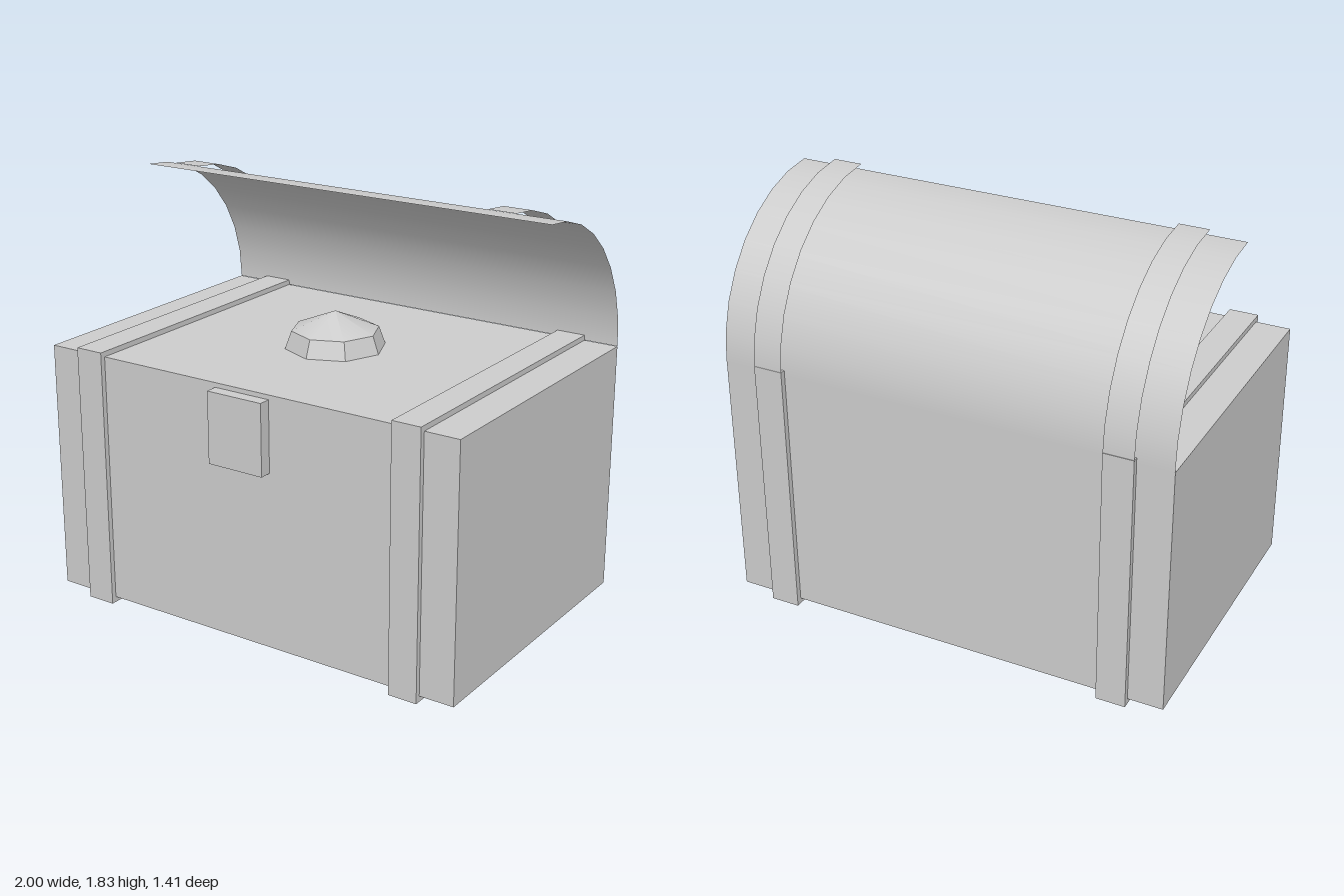
import * as THREE from 'three';

export function createModel() {
  const chest = new THREE.Group();
  chest.name = 'chest';
  const grey = new THREE.MeshStandardMaterial({ color: 0xcccccc, side: THREE.DoubleSide });
  grey.name = 'plain grey';

  const CZ = -0.015, RIM = 1.135; // lid axis and rim height

  function add(name, geometry, x, y, z) {
    const mesh = new THREE.Mesh(geometry, grey);
    mesh.name = name;
    mesh.position.set(x, y, z);
    chest.add(mesh);
    return mesh;
  }

  // box given by its lower and upper corners
  function box(name, a, b) {
    const size = b.map((v, i) => v - a[i]);
    const mid = b.map((v, i) => (v + a[i]) / 2);
    return add(name, new THREE.BoxGeometry(...size), ...mid);
  }

  // thin quarter-round shell, from the back rim up to the open front edge
  function shell(name, radius, width, x) {
    const g = new THREE.CylinderGeometry(radius, radius, width, 8, 1, true, Math.PI / 2, Math.PI / 2);
    g.rotateZ(Math.PI / 2);
    return add(name, g, x, RIM, CZ);
  }

  // body and open lid
  box('body', [-1, 0.025, -0.68], [1, RIM, 0.65]);
  shell('lid', 0.667, 2, 0);

  // straps around the body and over the lid
  for (const side of [-1, 1]) {
    const x = side * 0.78;
    box('bodyStrap', [x - 0.065, 0, -0.705], [x + 0.065, 1.158, 0.673]);
    shell('lidStrap', 0.69, 0.13, x);
  }

  // lock plate
  box('lock', [-0.132, 0.803, 0.64], [0.132, 1.115, 0.703]);

  // eight-sided gem: faceted sides with a smooth low crown
  const sides = new THREE.CylinderGeometry(0.19, 0.218, 0.077, 8, 1, true).toNonIndexed();
  sides.computeVertexNormals();
  add('gemSides', sides, 0, RIM + 0.0385, CZ);
  add('gemCrown', new THREE.ConeGeometry(0.19, 0.08, 8, 1, true), 0, 1.252, CZ);

  return chest;
}
